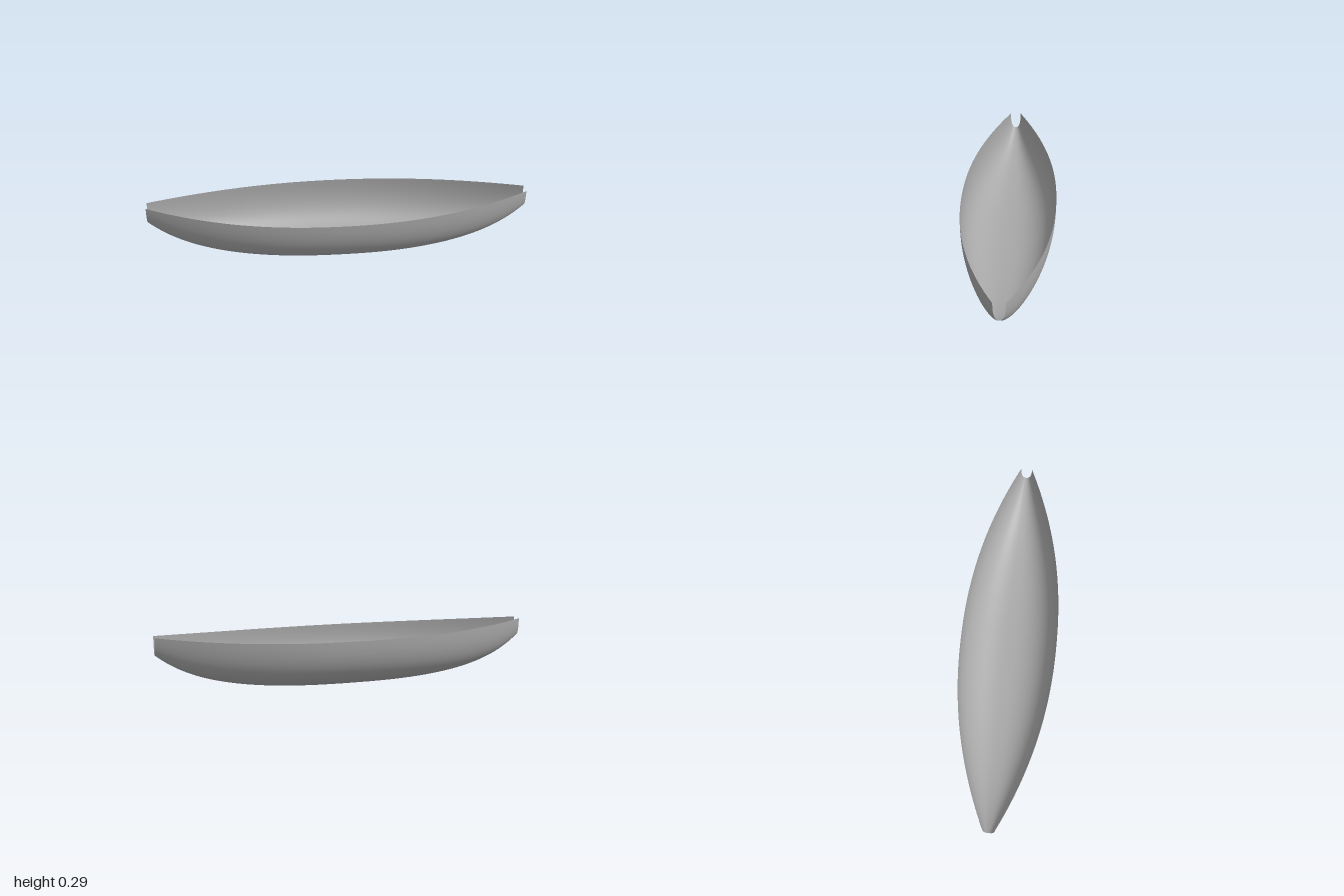
import * as THREE from 'three';

// Hull lines as functions of the station x (-1 at one end, 1 at the other)
const halfBeam = (x) => 0.03 + 0.22 * (1 - Math.abs(x) ** 2.15);
const sheer = (x) => 0.262 + 0.031 * Math.abs(x) ** 2.5;
const keel = (x) => {
  const a = Math.abs(x);
  return 0.2 * (0.65 * a ** 2.7 + 0.35 * a ** 7);
};

// Rounded U cross-section: a lower half superellipse
function sectionPoint(x, t) {
  const power = 2 / 2.5;
  const angle = Math.PI * t;
  const c = Math.cos(angle);
  const s = Math.max(0, Math.sin(angle));
  const z = halfBeam(x) * Math.sign(c) * Math.abs(c) ** power;
  const y = sheer(x) - (sheer(x) - keel(x)) * s ** power;
  return [x, y, z];
}

// Skin lofted through the cross-sections
function hullGeometry(stations, around) {
  const positions = [];
  const index = [];
  for (let i = 0; i <= stations; i++) {
    // Stations bunch up slightly towards the ends
    const x = Math.sin((i / stations - 0.5) * 2.4) / Math.sin(1.2);
    for (let j = 0; j <= around; j++) positions.push(...sectionPoint(x, j / around));
  }
  const row = around + 1;
  for (let i = 0; i < stations; i++) {
    for (let j = 0; j < around; j++) {
      const a = i * row + j;
      index.push(a, a + row + 1, a + row, a, a + 1, a + row + 1);
    }
  }
  const geometry = new THREE.BufferGeometry();
  geometry.setAttribute('position', new THREE.Float32BufferAttribute(positions, 3));
  geometry.setIndex(index);
  geometry.computeVertexNormals();
  return geometry;
}

export function createModel() {
  const model = new THREE.Group();
  model.name = 'openHull';

  const hullGrey = new THREE.MeshStandardMaterial({ color: 0xa8a8a8, side: THREE.DoubleSide });
  hullGrey.name = 'hullGrey';

  // Thin open shell with a narrow notch at each end
  const hull = new THREE.Mesh(hullGeometry(80, 64), hullGrey);
  hull.name = 'hullShell';
  model.add(hull);
  return model;
}
